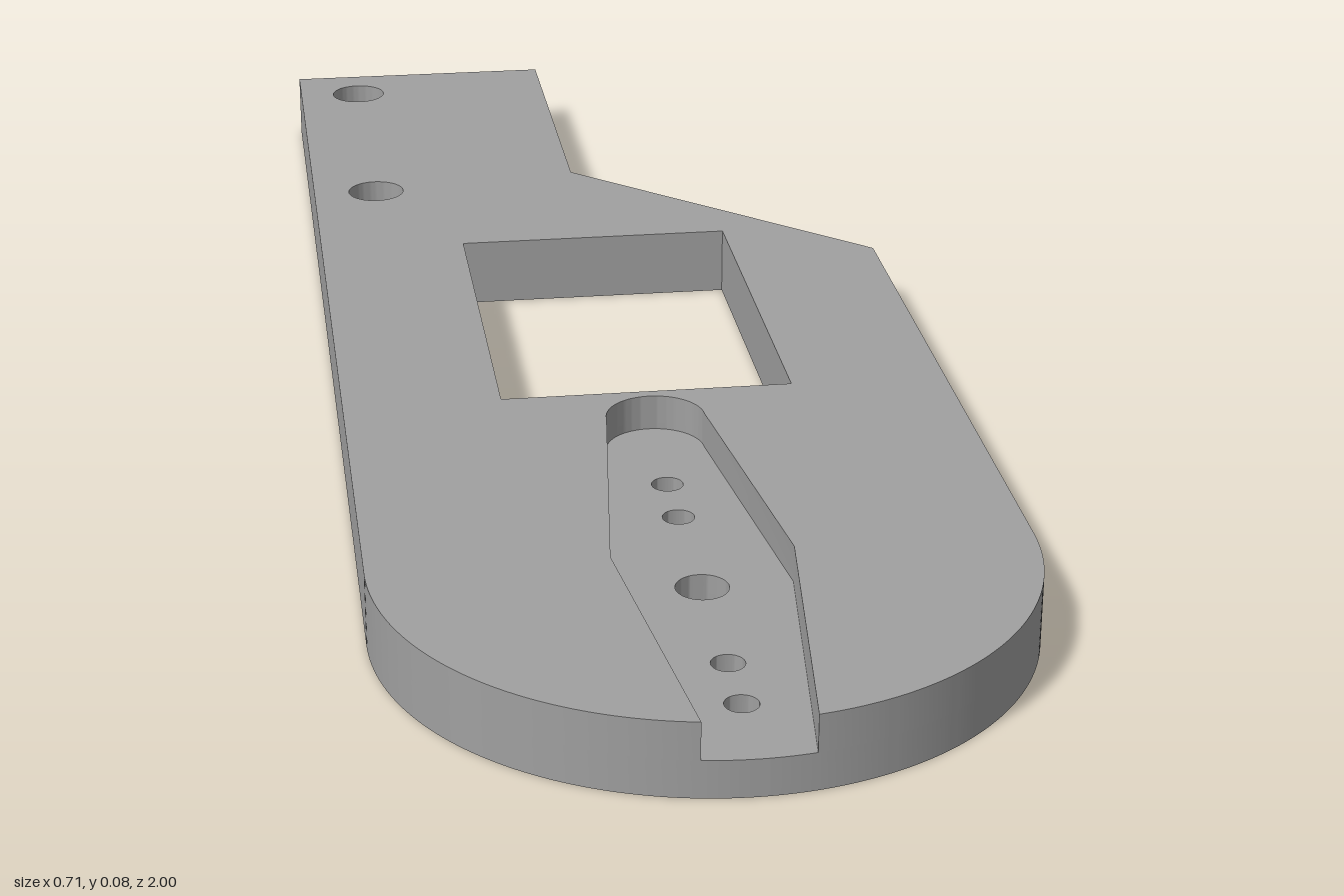
import * as THREE from 'three';
import { toCreasedNormals } from 'three/addons/utils/BufferGeometryUtils.js';

const R = 0.357, END = -0.643; // rounded end: radius and centre (shape y = -z)
const HEIGHT = 0.084, FLOOR = 0.042;
const MOUTH = 0.057, WAIST = 0.098; // half widths of the slot
const A = Math.asin(MOUTH / R);
const MOUTH_Y = END - R * Math.cos(A);

// straight edges of the plate, ending where the rounded end begins
function startOutline() {
  const s = new THREE.Shape();
  s.moveTo(-R, 1);
  s.lineTo(0, 1);
  s.lineTo(0, 0.54);
  s.lineTo(R, 0.2);
  s.lineTo(R, END);
  s.absarc(0, END, R, 0, -Math.PI / 2 + A, true);
  return s;
}

function finishOutline(s) {
  s.absarc(0, END, R, -Math.PI / 2 - A, -Math.PI, true);
  s.closePath();
  return s;
}

// tapered slot wall, from the right of its mouth round to the left
function slotWall(s) {
  s.lineTo(WAIST, -0.64);
  s.lineTo(MOUTH, -0.29);
  s.absarc(0, -0.29, MOUTH, 0, Math.PI, false);
  s.lineTo(-WAIST, -0.64);
  s.lineTo(-MOUTH, MOUTH_Y);
}

function circle(x, z, r) {
  return new THREE.Path().absarc(x, -z, r, 0, Math.PI * 2, false);
}

const plateHoles = () => [
  new THREE.Path([[-0.172, -0.219], [0.172, -0.219], [0.172, 0.287], [-0.172, 0.287], [-0.172, -0.219]]
    .map(([x, y]) => new THREE.Vector2(x, y))),
  circle(-0.273, -0.92, 0.037),
  circle(-0.273, -0.5, 0.037),
];

const slotHoles = () => [[0.385, 0.018], [0.47, 0.018], [0.64, 0.029], [0.808, 0.018], [0.892, 0.018]]
  .map(([z, r]) => circle(0, z, r));

// extrude a layer and leave out the cap hidden at the given level
function layer(shape, y, depth, openLevel) {
  const g = new THREE.ExtrudeGeometry(shape, { depth, bevelEnabled: false, curveSegments: 32 });
  const p = g.attributes.position;
  const kept = [];
  for (let i = 0; i < p.count; i += 3) {
    const hidden = [0, 1, 2].every((k) => Math.abs(p.getZ(i + k) - openLevel) < 1e-5);
    if (hidden) continue;
    for (let k = 0; k < 3; k++) kept.push(p.getX(i + k), p.getY(i + k), p.getZ(i + k));
  }
  const out = new THREE.BufferGeometry();
  out.setAttribute('position', new THREE.Float32BufferAttribute(kept, 3));
  out.rotateX(-Math.PI / 2);
  out.translate(0, y, 0);
  return toCreasedNormals(out, 0.5);
}

export function createModel() {
  const group = new THREE.Group();
  group.name = 'mountingPlate';
  const grey = new THREE.MeshStandardMaterial({ color: 0xa0a0a0 });
  grey.name = 'plate grey';
  const add = (name, geometry) => {
    const mesh = new THREE.Mesh(geometry, grey);
    mesh.name = name;
    group.add(mesh);
  };

  // lower half: full outline with every hole
  const lower = startOutline();
  lower.absarc(0, END, R, -Math.PI / 2 + A, -Math.PI / 2 - A, true);
  finishOutline(lower);
  lower.holes.push(...plateHoles(), ...slotHoles());
  add('lowerPlate', layer(lower, 0, FLOOR, FLOOR));

  // upper half: cut open by the slot
  const upper = startOutline();
  slotWall(upper);
  finishOutline(upper);
  upper.holes.push(...plateHoles());
  add('upperPlate', layer(upper, FLOOR, HEIGHT - FLOOR, 0));

  // floor of the slot
  const floor = new THREE.Shape();
  floor.moveTo(MOUTH, MOUTH_Y);
  slotWall(floor);
  floor.absarc(0, END, R, -Math.PI / 2 - A, -Math.PI / 2 + A, false);
  floor.holes.push(...slotHoles());
  const floorGeometry = new THREE.ShapeGeometry(floor, 32);
  floorGeometry.rotateX(-Math.PI / 2);
  floorGeometry.translate(0, FLOOR, 0);
  add('slotFloor', floorGeometry);

  return group;
}
